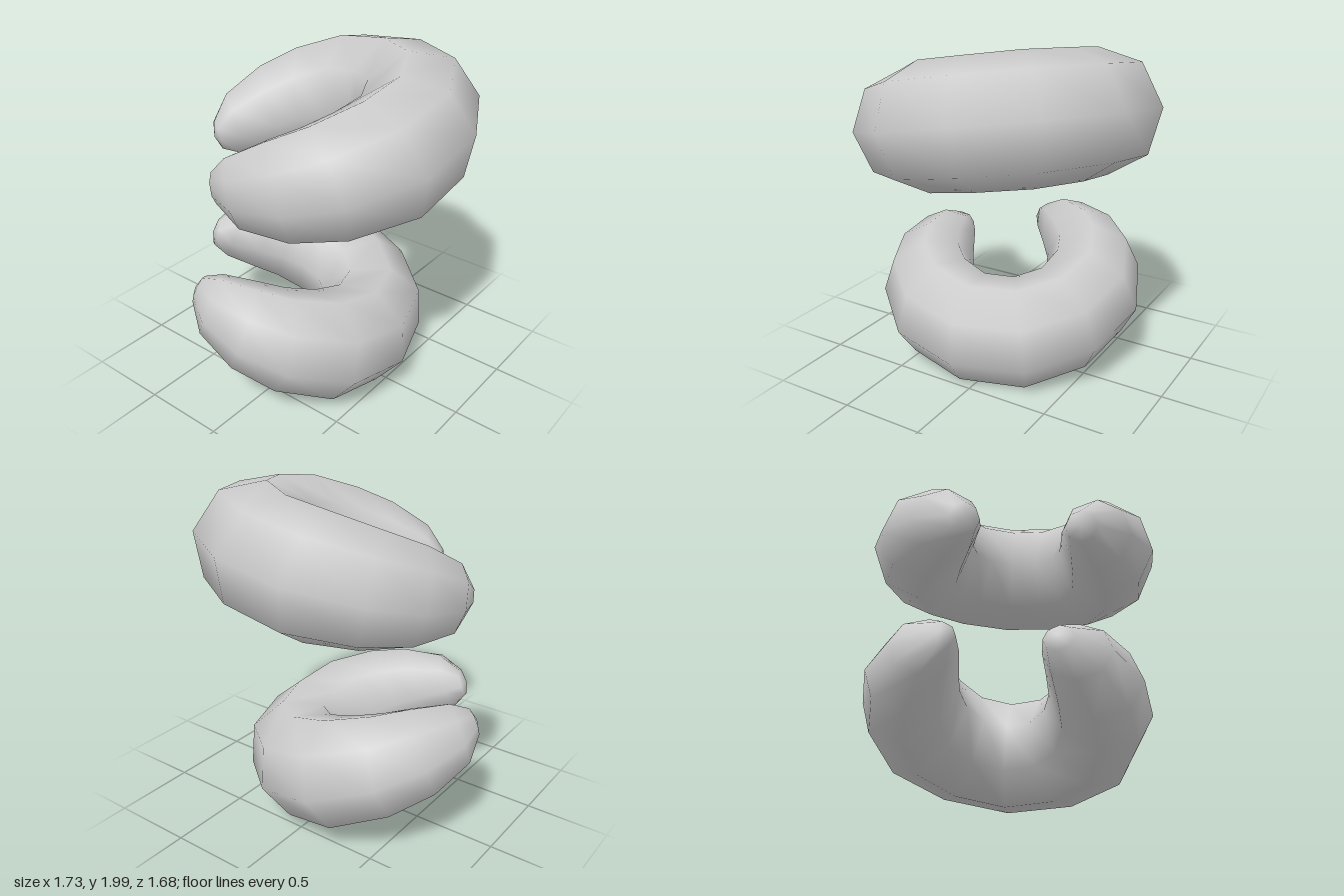
import * as THREE from 'three';

const SIDES = 8;

// Half of the crescent, middle to tip: outer (x, z) and inner (x, z) of each ring
const HALF = [
  [0.89, 0.00, 0.20, 0.00],
  [0.76, 0.45, 0.15, 0.14],
  [0.45, 0.77, 0.02, 0.23],
  [0.03, 0.87, -0.13, 0.26],
  [-0.29, 0.80, -0.28, 0.25],
  [-0.54, 0.62, -0.49, 0.23],
  [-0.64, 0.41, -0.60, 0.235],
];

// Curved, tapered roll made of rings, slightly taller than wide, closed at both tips
function crescentGeometry() {
  const mirrored = HALF.slice(1).map(([a, b, c, d]) => [a, -b, c, -d]);
  const rings = [...HALF].reverse().concat(mirrored);
  const pos = [], index = [];
  for (const [ox, oz, ix, iz] of rings) {
    const cx = (ox + ix) / 2, cz = (oz + iz) / 2;
    const hx = (ox - ix) / 2, hz = (oz - iz) / 2;
    const r = Math.hypot(hx, hz) * 1.03;
    for (let j = 0; j < SIDES; j++) {
      const t = (j / SIDES) * Math.PI * 2;
      pos.push(cx + hx * Math.cos(t), r * Math.sin(t), cz + hz * Math.cos(t));
    }
  }
  const last = (rings.length - 1) * SIDES;
  const tip = rings.length * SIDES;
  pos.push(-0.645, 0, 0.315, -0.645, 0, -0.315);
  for (let j = 0; j < SIDES; j++) {
    const k = (j + 1) % SIDES;
    for (let i = 0; i < last; i += SIDES) {
      const a = i + j, b = i + k, c = a + SIDES, d = b + SIDES;
      index.push(a, c, b, b, c, d);
    }
    index.push(tip, j, k, tip + 1, last + k, last + j);
  }
  const geo = new THREE.BufferGeometry();
  geo.setAttribute('position', new THREE.Float32BufferAttribute(pos, 3));
  geo.setIndex(index);
  geo.computeVertexNormals();
  return geo;
}

export function createModel() {
  const group = new THREE.Group();
  const geo = crescentGeometry();
  const mat = new THREE.MeshStandardMaterial({ color: 0xcccccc });
  const deg = THREE.MathUtils.degToRad;

  // Place one crescent: yaw, then tilt of the thick middle, then roll
  const place = (name, [x, y, z], yaw, tilt, roll, scale) => {
    const mesh = new THREE.Mesh(geo, mat);
    mesh.name = name;
    mesh.position.set(x, y, z);
    mesh.rotation.set(deg(roll), deg(yaw), deg(tilt), 'YZX');
    mesh.scale.setScalar(scale);
    group.add(mesh);
  };

  place('upperCrescent', [0.03, 1.535, 0.025], 43, 13, 2, 1);
  place('lowerCrescent', [-0.14, 0.48, 0.09], 36, -18, 4.4, 0.925);
  return group;
}
